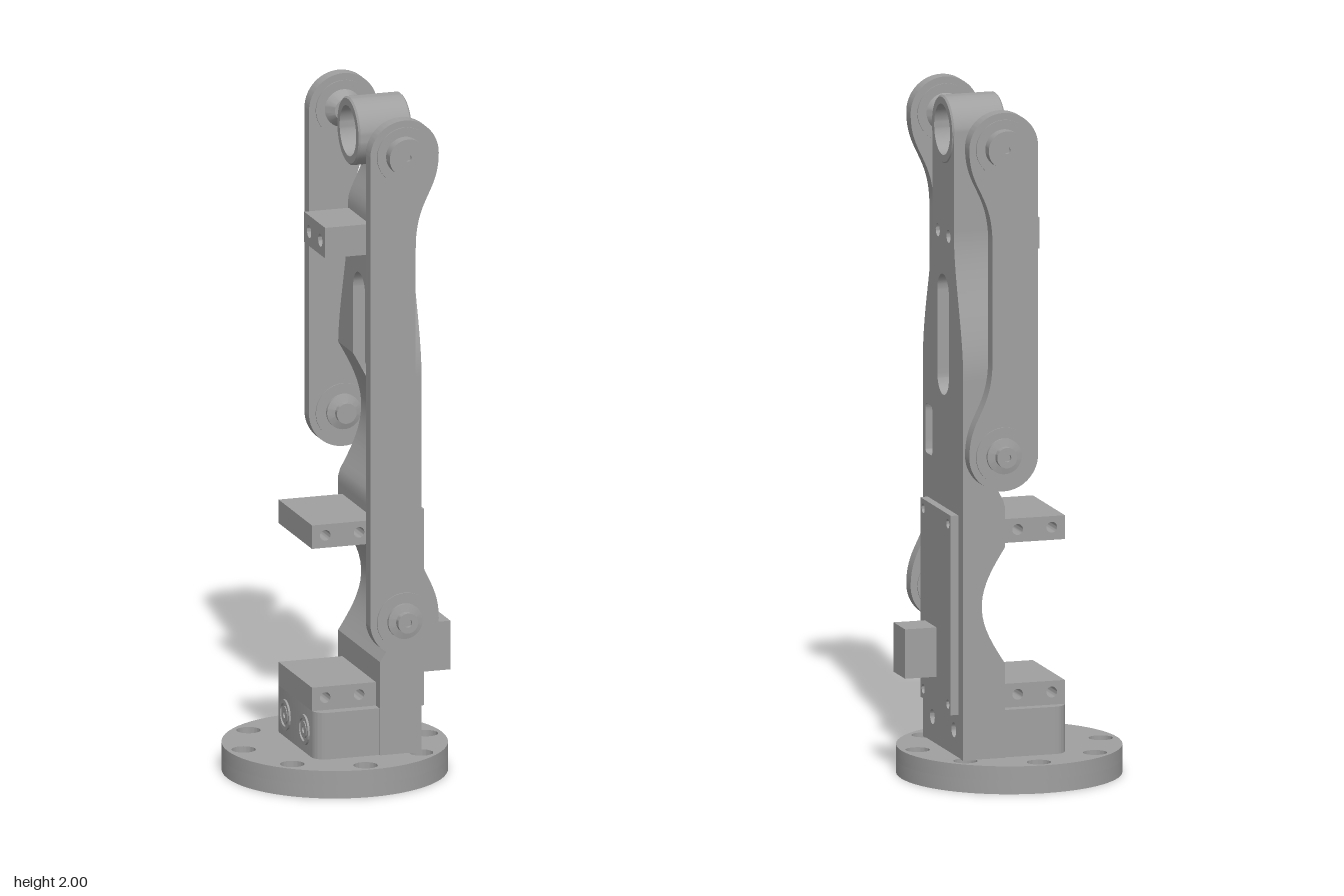
import * as THREE from 'three';
import { toCreasedNormals } from 'three/addons/utils/BufferGeometryUtils.js';

const metal = new THREE.MeshStandardMaterial({ color: 0xa0a0a0 });
metal.name = 'grey metal';

function add(parent, name, geometry, x = 0, y = 0, z = 0) {
  const mesh = new THREE.Mesh(toCreasedNormals(geometry, 0.5), metal);
  mesh.name = name;
  mesh.position.set(x, y, z);
  parent.add(mesh);
  return mesh;
}

const circle = (x, y, r) => new THREE.Path().absarc(x, y, r, 0, Math.PI * 2, true);
const extrude = (shape, depth, curveSegments = 16) =>
  new THREE.ExtrudeGeometry(shape, { depth, bevelEnabled: false, curveSegments });
const lathe = (points, segments = 48) =>
  new THREE.LatheGeometry(points.map(([r, y]) => new THREE.Vector2(r, y)), segments);

// rectangle with round holes, in its own plane
function drilledRect(x0, x1, y0, y1, holes) {
  const s = new THREE.Shape();
  s.moveTo(x0, y0).lineTo(x1, y0).lineTo(x1, y1).lineTo(x0, y1).closePath();
  holes.forEach(([x, y, r]) => s.holes.push(circle(x, y, r)));
  return s;
}

const smooth = (a, b, y) => THREE.MathUtils.smoothstep(y, a, b);

// arm: stacked cross-sections with a scalloped back, a narrowing neck and openings
function armGeometry() {
  const FRONT = 0.2, TOP = 1.9, EPS = 1e-4;
  const halfWidth = y => 0.188 - 0.088 * smooth(1.2, 1.62, y);
  const scallop = (a, b, y) => (y > a && y < b ? 0.07 * Math.sin(Math.PI * (y - a) / (b - a)) : 0);
  const back = y => 0.074 + scallop(0.36, 0.7, y) + scallop(0.83, 1.22, y) + 0.046 * smooth(1.66, 1.8, y);
  const round = (x, y, r) => ({ x, y0: y - r, y1: y + r, hw: r, r });
  const holesA = [
    round(-0.1, 0.155, 0.022), { x: -0.133, y0: 0.92, y1: 1.065, hw: 0.033, r: 0.014 },
    { x: 0, y0: 1.12, y1: 1.475, hw: 0.054, r: 0.054 }, round(-0.05, 1.595, 0.019), round(0, 1.9, 0.075)];
  const holesB = [round(0.1, 0.155, 0.022), round(0.05, 1.595, 0.019)];

  const opening = (holes, y) => {
    const h = holes.find(o => y >= o.y0 - 0.01 && y <= o.y1 + 0.01);
    if (!h) return null;
    if (y < h.y0 - 1e-7 || y > h.y1 + 1e-7) return [h.x, h.x];
    const d = Math.max(h.y0 + h.r - y, y - h.y1 + h.r, 0);
    const half = h.hw - h.r + Math.sqrt(Math.max(h.r * h.r - d * d, 0));
    return [h.x - half, h.x + half];
  };

  let ys = [0.08, TOP];
  for (let y = 0.1; y < TOP; y += 0.02) ys.push(y);
  for (const h of [...holesA, ...holesB]) {
    ys.push(h.y0 - EPS, h.y1 + EPS);
    for (let k = 0; k <= 6; k++) {
      const d = h.r * (1 - Math.cos(k * Math.PI / 12));
      ys.push(h.y0 + d, h.y1 - d);
    }
  }
  ys = ys.filter(y => y <= TOP).sort((a, b) => a - b).filter((y, i, all) => !i || y - all[i - 1] > 1e-6);

  const rows = ys.map(y => {
    const w = halfWidth(y);
    const a = opening(holesA, y) || [-w / 3, -w / 3];
    const mid = (a[1] + w) / 2;
    const b = opening(holesB, y) || [mid, mid];
    return { y, z: back(y), x: [-w, ...a, ...b, w] };
  });

  const pos = [];
  const quad = (a, b, c, d) => pos.push(...a, ...b, ...c, ...a, ...c, ...d);
  for (let i = 0; i + 1 < rows.length; i++) {
    const p = rows[i], q = rows[i + 1];
    const f = (row, k) => [row.x[k], row.y, FRONT];
    const r = (row, k) => [row.x[k], row.y, row.z];
    const open = k => p.x[k + 1] - p.x[k] + q.x[k + 1] - q.x[k] > 1e-6;
    for (const k of [0, 2, 4]) {
      quad(f(p, k), f(p, k + 1), f(q, k + 1), f(q, k));
      quad(r(p, k + 1), r(p, k), r(q, k), r(q, k + 1));
      if (k === 0 || open(k - 1)) quad(r(p, k), f(p, k), f(q, k), r(q, k));
      if (k === 4 || open(k + 1)) quad(f(p, k + 1), r(p, k + 1), r(q, k + 1), f(q, k + 1));
    }
  }
  const g = new THREE.BufferGeometry();
  g.setAttribute('position', new THREE.Float32BufferAttribute(pos, 3));
  return g;
}

// link plate: one straight edge, one waisted edge, round ends
function linkShape(yb, yt) {
  const r = 0.104, w = r - 0.07, s = new THREE.Shape();
  s.moveTo(-r, yb);
  s.absarc(0, yb, r, Math.PI, Math.PI * 2, false);
  s.bezierCurveTo(r, yb + 0.12, w, yb + 0.13, w, yb + 0.28);
  s.lineTo(w, yt - 0.28);
  s.bezierCurveTo(w, yt - 0.13, r, yt - 0.12, r, yt);
  s.absarc(0, yt, r, 0, Math.PI, false);
  s.closePath();
  return s;
}

function addLink(parent, name, side, yb) {
  const link = new THREE.Group();
  link.name = name;
  parent.add(link);
  const yt = 1.896, z = 0.112;
  add(link, 'linkPlate', extrude(linkShape(yb, yt), 0.041, 24).rotateY(-Math.PI / 2),
    side > 0 ? 0.295 : -0.254, 0, z);
  const hub = (part, points, y) =>
    add(link, part, lathe(points).rotateZ(-side * Math.PI / 2), 0, y, z);
  // bearing rims on both faces, at both ends
  for (const y of [yb, yt]) {
    hub('bearingRim', [[0.066, 0.25], [0.084, 0.25], [0.084, 0.299], [0.066, 0.299]], y);
  }
  // upper pivot with cap, cone washer and inward pin
  hub('upperPivot', [[0, 0.18], [0.02, 0.18], [0.02, 0.228], [0.034, 0.228], [0.056, 0.254],
    [0.056, 0.328], [0.01, 0.328], [0.01, 0.318], [0, 0.318]], yt);
  // lower pivot with stepped bolt
  hub('lowerPivot', [[0, 0.222], [0.03, 0.222], [0.03, 0.238], [0.052, 0.245], [0.052, 0.304],
    [0.03, 0.308], [0.03, 0.328], [0.012, 0.328], [0.012, 0.318], [0, 0.318]], yb);
}

export function createModel() {
  const model = new THREE.Group();
  model.name = 'robotArmSegment';
  const body = new THREE.Group();
  body.name = 'armAssembly';
  body.position.set(-0.007, 0, -0.025);
  body.rotation.y = 1.0935;
  model.add(body);

  // round base flange with counterbored bolt holes
  const flange = (name, holeRadius, y) => {
    const s = new THREE.Shape().absarc(0, 0, 0.326, 0, Math.PI * 2, false);
    for (let i = 0; i < 8; i++) {
      const a = i * Math.PI / 4;
      s.holes.push(circle(0.277 * Math.cos(a), 0.277 * Math.sin(a), holeRadius));
    }
    add(body, name, extrude(s, 0.041, 32).rotateX(-Math.PI / 2), 0, y, 0);
  };
  flange('flangeLower', 0.019, 0);
  flange('flangeUpper', 0.035, 0.041);

  add(body, 'arm', armGeometry());

  // bearing ring at the top of the arm
  add(body, 'bearingRing', lathe([[0.095, 0.04], [0.1, 0.045], [0.1, 0.198], [0.095, 0.203], [0.074, 0.203],
    [0.074, 0.14], [0.063, 0.14], [0.063, 0.1], [0.074, 0.1], [0.074, 0.04], [0.095, 0.04]], 64)
    .rotateX(Math.PI / 2), 0, 1.9, 0);

  // foot block behind the arm, rounded in plan
  const foot = new THREE.Shape(), r = 0.04, w = 0.182;
  foot.absarc(w - r, 0.12 - r, r, 0, Math.PI / 2, false);
  foot.absarc(-w + r, 0.12 - r, r, Math.PI / 2, Math.PI, false);
  foot.lineTo(-w, -0.076).lineTo(w, -0.076).closePath();
  add(body, 'footBlock', extrude(foot, 0.14).rotateX(-Math.PI / 2), 0, 0.081, 0);
  for (const s of [-1, 1]) {
    add(body, 'footBoltRim', lathe([[0.034, 0], [0.045, 0], [0.045, 0.006], [0.034, 0.006], [0.034, 0]])
      .rotateX(-Math.PI / 2), s * 0.085, 0.15, -0.12);
    add(body, 'footBolt', lathe([[0.01, 0], [0.025, 0], [0.025, 0.005], [0.01, 0.005], [0.01, 0]])
      .rotateX(-Math.PI / 2), s * 0.085, 0.15, -0.12);
  }

  // cable shelves on the back, drilled from side to side
  for (const y of [0.221, 0.705]) {
    const shelf = drilledRect(-0.12, 0.09, 0, 0.07, [[-0.08, 0.037, 0.016], [0.023, 0.037, 0.016]]);
    add(body, 'cableShelf', extrude(shelf, 0.3).rotateY(-Math.PI / 2), 0.15, y, 0);
  }
  const bracket = drilledRect(-0.094, 0.094, 1.552, 1.643, [[-0.05, 1.595, 0.019], [0.05, 1.595, 0.019]]);
  add(body, 'upperBracket', extrude(bracket, 0.14), 0, 0, -0.061);

  // cover plate and connector on the front
  const corners = [];
  for (const x of [-0.115, 0.115]) for (const y of [0.235, 0.765]) corners.push([x, y, 0.014]);
  add(body, 'coverPlate', extrude(drilledRect(-0.142, 0.142, 0.207, 0.793, corners), 0.023), 0, 0, 0.2);
  add(body, 'connector', new THREE.BoxGeometry(0.108, 0.145, 0.1), -0.045, 0.367, 0.268);

  // side links
  addLink(body, 'longLink', -1, 0.508);
  addLink(body, 'shortLink', 1, 0.992);
  return model;
}
